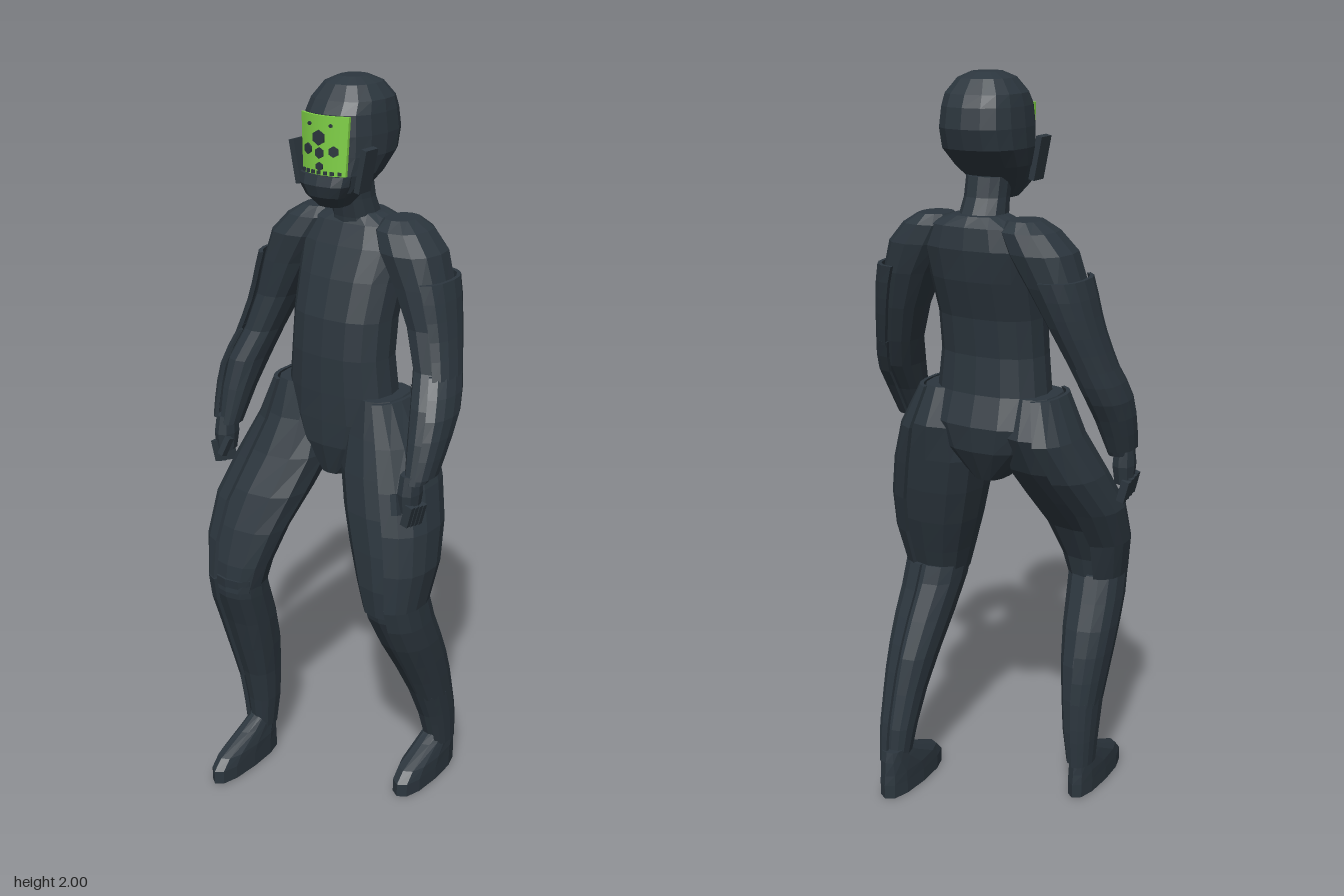
import * as THREE from 'three';

const suit = new THREE.MeshStandardMaterial({ color: 0x2c363e });
suit.name = 'dark slate suit';
const green = new THREE.MeshStandardMaterial({ color: 0x7fd046 });
green.name = 'visor green';

// Faceted skin over closed rings of points, listed from top to bottom
function skin(rings) {
  const pos = [], n = rings[0].length, last = rings.length - 1;
  const quad = (a, b, c, d) => [a, b, c, a, c, d].forEach(p => pos.push(...p));
  for (let r = 0; r < last; r++) {
    const A = rings[r], B = rings[r + 1];
    for (let i = 0; i < n; i++) {
      const j = (i + 1) % n;
      quad(A[i], A[j], B[j], B[i]);
    }
  }
  // End caps bridge opposite sides of the ring, so they also suit curved plates
  const A = rings[0], B = rings[last];
  for (let i = 0; i < n / 2 - 1; i++) {
    const k = n - 1 - i;
    quad(A[k], A[k - 1], A[i + 1], A[i]);
    quad(B[i], B[i + 1], B[k - 1], B[k]);
  }
  const g = new THREE.BufferGeometry();
  g.setAttribute('position', new THREE.Float32BufferAttribute(pos, 3));
  g.computeVertexNormals();
  return g;
}

// Point on a slightly squared oval; row = [y, xMin, xMax, zMin, zMax]
function onRow([y, x0, x1, z0, z1], angle, grow = 0, power = 0.82) {
  const c = Math.cos(angle), s = Math.sin(angle);
  const f = v => Math.sign(v) * Math.abs(v) ** power;
  return [(x0 + x1) / 2 + ((x1 - x0) / 2 + grow) * f(c), y,
    (z0 + z1) / 2 + ((z1 - z0) / 2 + grow) * f(s)];
}

function add(parent, name, geometry, material = suit) {
  const m = new THREE.Mesh(geometry, material);
  m.name = name;
  parent.add(m);
  return m;
}

function loft(parent, name, rows, sides = 12) {
  return add(parent, name, skin(rows.map(r =>
    Array.from({ length: sides }, (_, i) => onRow(r, (i / sides) * Math.PI * 2)))));
}

// Row at any height along a limb
function rowAt(rows, y) {
  let i = 0;
  while (i < rows.length - 2 && rows[i + 1][0] > y) i++;
  const a = rows[i], b = rows[i + 1];
  const t = THREE.MathUtils.clamp((y - a[0]) / (b[0] - a[0]), 0, 1);
  return [y, ...[1, 2, 3, 4].map(k => a[k] + (b[k] - a[k]) * t)];
}

// Curved armour plate wrapped round part of a limb
function plate(parent, name, rows, top, bottom, centre, half, grow) {
  const rings = [], n = 8;
  for (let k = 0; k <= 5; k++) {
    const row = rowAt(rows, top + (bottom - top) * k / 5);
    const arc = g => Array.from({ length: n }, (_, i) =>
      onRow(row, centre - half + 2 * half * i / (n - 1), g));
    rings.push([...arc(grow), ...arc(grow - 0.01).reverse()]);
  }
  add(parent, name, skin(rings));
}

function box(parent, name, size, at, tilt = [0, 0, 0], material = suit) {
  const m = add(parent, name, new THREE.BoxGeometry(...size), material);
  m.position.set(...at);
  m.rotation.set(...tilt);
  return m;
}

const sym = (y, w, z0, z1) => [y, -w, w, z0, z1];

function buildHead(g) {
  loft(g, 'helmet', [
    sym(2, 0.035, -0.135, -0.055), sym(1.985, 0.068, -0.17, -0.02), sym(1.95, 0.096, -0.2, 0.01),
    sym(1.92, 0.102, -0.213, 0.03), sym(1.87, 0.107, -0.22, 0.035), sym(1.82, 0.107, -0.205, 0.035),
    sym(1.775, 0.095, -0.155, 0.038), sym(1.73, 0.068, -0.1, 0.04), sym(1.69, 0.035, -0.06, 0.02)], 16);
  loft(g, 'chinGuard', [
    sym(1.775, 0.075, -0.02, 0.052), sym(1.75, 0.072, -0.02, 0.06), sym(1.72, 0.056, -0.02, 0.05),
    sym(1.69, 0.035, -0.03, 0.02)]);
  for (const s of [-1, 1]) {
    box(g, 'cheekGuard', [0.016, 0.11, 0.05], [s * 0.101, 1.79, -0.01], [0, 0, -s * 0.2]);
  }
  // Curved visor, narrower at the bottom
  const v = new THREE.BoxGeometry(0.145, 0.145, 0.008, 8, 1, 1), p = v.attributes.position;
  for (let i = 0; i < p.count; i++) {
    const x = p.getX(i) * (p.getY(i) < 0 ? 0.9 : 1);
    p.setX(i, x);
    p.setZ(i, p.getZ(i) - 4 * x * x);
  }
  v.computeVertexNormals();
  add(g, 'visor', v, green).position.set(0.003, 1.848, 0.043);
  // Dark dots and mouth slots on the visor
  for (const [x, y, r] of [[0, 1.867, 0.019], [-0.036, 1.836, 0.014], [0.04, 1.836, 0.014],
    [0.002, 1.83, 0.014], [0.002, 1.797, 0.011], [-0.03, 1.898, 0.005], [0.033, 1.898, 0.005]]) {
    const d = add(g, 'visorDot', new THREE.CylinderGeometry(r, r, 0.008, 6));
    d.position.set(x, y, 0.046 - 4 * x * x);
    d.rotation.set(Math.PI / 2, 0, -8 * x);
  }
  for (let i = -3; i <= 3; i++) {
    const x = i * 0.018;
    box(g, 'mouthSlot', [0.01, 0.009, 0.008], [x, 1.782, 0.046 - 4 * x * x], [0, 8 * x, 0]);
  }
}

function buildTorso(g) {
  loft(g, 'neck', [sym(1.75, 0.055, -0.14, -0.03), sym(1.7, 0.055, -0.15, -0.045),
    sym(1.65, 0.06, -0.175, -0.055), sym(1.58, 0.085, -0.19, -0.06)]);
  loft(g, 'torso', [
    sym(1.66, 0.07, -0.19, -0.07), sym(1.635, 0.14, -0.208, -0.055), sym(1.58, 0.16, -0.215, -0.03),
    sym(1.5, 0.15, -0.2, 0.002), sym(1.4, 0.145, -0.168, 0.03), sym(1.3, 0.145, -0.155, 0.04),
    sym(1.2, 0.155, -0.162, 0.04), sym(1.12, 0.165, -0.188, 0.038), sym(1.05, 0.13, -0.178, 0.035),
    sym(0.96, 0.045, -0.13, 0.01)], 16);
}

// Arms share one outline; the left hand reaches a little further forward
const ARM = [
  [1.655, 0.09, 0.17, -0.18, -0.08], [1.63, 0.07, 0.21, -0.205, -0.05], [1.58, 0.09, 0.255, -0.212, -0.03],
  [1.5, 0.14, 0.28, -0.2, -0.03], [1.4, 0.19, 0.3, -0.17, -0.03], [1.3, 0.23, 0.325, -0.13, -0.01],
  [1.22, 0.255, 0.352, -0.1, 0.03], [1.14, 0.272, 0.355, -0.05, 0.05], [1.04, 0.292, 0.345, 0, 0.07]];

function buildArm(g, s) {
  const arm = new THREE.Group(), reach = s > 0 ? 0.025 : 0;
  arm.name = s > 0 ? 'leftArm' : 'rightArm';
  g.add(arm);
  const rows = ARM.map(([y, a, b, c, d]) => {
    const f = reach * THREE.MathUtils.clamp((1.3 - y) / 0.25, 0, 1);
    return [y, ...(s > 0 ? [a, b] : [-b, -a]), c + f, d + f];
  });
  const out = s > 0 ? 0 : Math.PI;
  loft(arm, 'armSleeve', rows);
  plate(arm, 'upperArmPlate', rows, 1.52, 1.29, out - s * 0.25, 1.25, 0.018);
  plate(arm, 'forearmPlate', rows, 1.3, 1.06, out - s * 0.2, 1.35, 0.018);
  // Fist with curled fingers and thumb
  const x = s > 0 ? 0.305 : -0.33, z = 0.04 + reach;
  loft(arm, 'palm', [[1.06, x - 0.025, x + 0.025, z - 0.03, z + 0.03],
    [1.01, x - 0.028, x + 0.028, z - 0.035, z + 0.04], [0.96, x - 0.024, x + 0.024, z - 0.025, z + 0.035]], 8);
  for (let i = 0; i < 4; i++) {
    box(arm, 'finger', [0.022, 0.06, 0.016], [x + s * 0.012, 0.945 + i * 0.004, z - 0.024 + i * 0.018], [0, 0, -s * 0.25]);
  }
  box(arm, 'thumb', [0.018, 0.055, 0.02], [x - s * 0.022, 0.98, z + 0.035], [-0.3, 0, s * 0.3]);
}

// The right leg steps forward and the left one trails
const RIGHT_LEG = {
  thigh: [[1.2, -0.185, -0.07, -0.14, 0.02], [1.1, -0.225, -0.04, -0.175, 0.045], [1, -0.265, -0.03, -0.13, 0.09],
    [0.9, -0.295, -0.05, -0.05, 0.145], [0.8, -0.3, -0.08, 0.03, 0.185], [0.7, -0.28, -0.11, 0.075, 0.212],
    [0.62, -0.265, -0.13, 0.09, 0.22]],
  shin: [[0.66, -0.27, -0.125, 0.09, 0.222], [0.6, -0.272, -0.128, 0.07, 0.215], [0.5, -0.27, -0.135, 0.035, 0.18],
    [0.4, -0.262, -0.145, 0.01, 0.15], [0.3, -0.25, -0.157, 0, 0.12], [0.2, -0.245, -0.165, 0, 0.1],
    [0.1, -0.238, -0.178, 0.008, 0.088]],
  foot: [-0.252, -0.176, 0], out: Math.PI, side: -1 };
const LEFT_LEG = {
  thigh: [[1.2, 0.07, 0.185, -0.15, 0.02], [1.1, 0.04, 0.235, -0.185, 0.04], [1, 0.03, 0.275, -0.168, 0.06],
    [0.9, 0.055, 0.3, -0.148, 0.08], [0.8, 0.085, 0.315, -0.122, 0.09], [0.7, 0.12, 0.305, -0.088, 0.095],
    [0.62, 0.145, 0.29, -0.06, 0.088]],
  shin: [[0.65, 0.14, 0.295, -0.075, 0.088], [0.6, 0.145, 0.298, -0.09, 0.078], [0.5, 0.16, 0.3, -0.135, 0.03],
    [0.4, 0.175, 0.295, -0.178, -0.03], [0.3, 0.19, 0.288, -0.205, -0.085], [0.2, 0.2, 0.283, -0.23, -0.13],
    [0.1, 0.21, 0.275, -0.24, -0.162]],
  foot: [0.2, 0.286, -0.27], out: 0, side: 1 };

function buildLeg(g, { thigh, shin, foot: [x0, x1, heel], out, side }) {
  const leg = new THREE.Group();
  leg.name = side > 0 ? 'leftLeg' : 'rightLeg';
  g.add(leg);
  loft(leg, 'thigh', thigh);
  plate(leg, 'thighPlate', thigh, 1.2, 0.65, out, 1.25, 0.016);
  loft(leg, 'shin', shin);
  plate(leg, 'shinPlate', shin, 0.655, 0.29, out - side * 0.1, 1.4, 0.014);
  plate(leg, 'anklePlate', shin, 0.3, 0.1, out - side * 0.2, 1.3, 0.014);
  loft(leg, 'foot', [[0.14, x0 + 0.012, x1 - 0.012, heel + 0.015, heel + 0.09],
    [0.11, x0 + 0.006, x1 - 0.006, heel + 0.008, heel + 0.15], [0.07, x0, x1, heel + 0.004, heel + 0.245],
    [0.04, x0, x1, heel, heel + 0.275], [0, x0, x1, heel, heel + 0.275]]);
}

export function createModel() {
  const g = new THREE.Group();
  g.name = 'armouredFigure';
  buildHead(g);
  buildTorso(g);
  for (const s of [-1, 1]) buildArm(g, s);
  for (const leg of [RIGHT_LEG, LEFT_LEG]) buildLeg(g, leg);
  return g;
}
